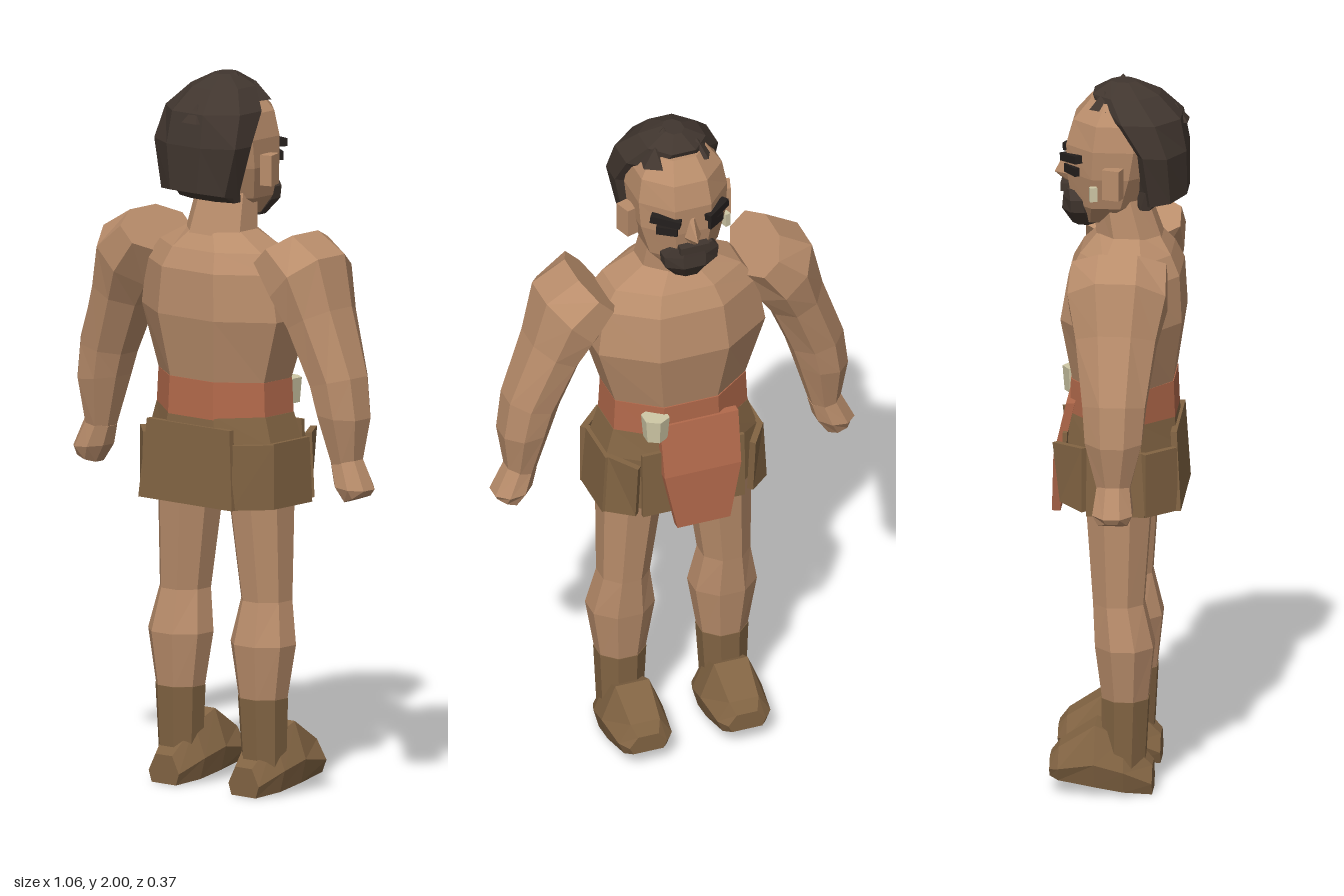
import * as THREE from 'three';

const V = (x, y, z) => new THREE.Vector3(x, y, z);
const mat = (name, color) => {
  const m = new THREE.MeshStandardMaterial({ color, flatShading: true });
  m.name = name;
  return m;
};

// Skin a list of equal-length point loops, with capped ends, always facing outward
function loft(rings) {
  const tris = [], n = rings[0].length;
  for (let i = 0; i < rings.length - 1; i++) {
    for (let j = 0; j < n; j++) {
      const k = (j + 1) % n, a = rings[i], b = rings[i + 1];
      tris.push([a[j], b[j], b[k]], [a[j], b[k], a[k]]);
    }
  }
  const lo = rings[0], hi = rings[rings.length - 1];
  for (let j = 1; j < n - 1; j++) {
    tris.push([lo[0], lo[j], lo[j + 1]], [hi[0], hi[j + 1], hi[j]]);
  }
  const volume = tris.reduce((s, [a, b, c]) => s + a.dot(b.clone().cross(c)), 0);
  if (volume < 0) tris.forEach(t => t.reverse());
  const g = new THREE.BufferGeometry().setFromPoints(tris.flat());
  g.computeVertexNormals();
  return g;
}

// Eight-sided loop with flat sides; u and v are its half-axes
function octagon(center, u, v) {
  return Array.from({ length: 8 }, (_, j) => {
    const a = (j + 0.5) * Math.PI / 4, r = 1 / Math.cos(Math.PI / 8);
    return center.clone().addScaledVector(u, r * Math.cos(a)).addScaledVector(v, r * Math.sin(a));
  });
}

// Upright body from rows of [y, half width, back z, front z, centre x, tilt]
const column = rows => loft(rows.map(([y, rx, zb, zf, cx = 0, tilt = 0]) =>
  octagon(V(cx, y, (zb + zf) / 2), V(rx, 0, 0), V(0, tilt, (zb - zf) / 2))));

// Limb from rows of [inner x, inner y, outer x, outer y, half depth]
const limb = (rows, s) => loft(rows.map(([xi, yi, xo, yo, rz]) =>
  octagon(V(s * (xi + xo) / 2, (yi + yo) / 2, 0.012), V(s * (xo - xi) / 2, (yo - yi) / 2, 0), V(0, 0, rz))));

// Thick panel from corner points and a thickness vector
const panel = (corners, t) => loft([corners.map(c => V(...c)), corners.map(c => V(...c).add(V(...t)))]);

export function createModel() {
  const model = new THREE.Group();
  model.name = 'warrior';
  const skin = mat('skin', 0xb98d6b), leather = mat('leather', 0x826443), cloth = mat('sash cloth', 0xb2694b);
  const hair = mat('hair', 0x41362f), dark = mat('eye dark', 0x241f1d), bone = mat('bone', 0xcfc8a6);
  const add = (name, geometry, material) => {
    const m = new THREE.Mesh(geometry, material);
    m.name = name;
    model.add(m);
    return m;
  };
  const box = (name, size, pos, rotY, material) => {
    const m = add(name, new THREE.BoxGeometry(...size), material);
    m.position.set(...pos);
    m.rotation.y = rotY;
    return m;
  };

  // Trunk and waist
  add('torso', column([
    [1.15, 0.19, 0.145, -0.13], [1.33, 0.245, 0.172, -0.162],
    [1.46, 0.225, 0.165, -0.14], [1.515, 0.185, 0.14, -0.11], [1.57, 0.085, 0.1, -0.06],
  ]), skin);
  add('neck', column([[1.53, 0.1, 0.12, -0.065], [1.7, 0.08, 0.06, -0.08]]), skin);
  add('waistSash', column([[1.05, 0.197, 0.152, -0.138], [1.155, 0.192, 0.148, -0.135]]), cloth);
  add('skirt', column([
    [0.82, 0.222, 0.16, -0.15], [0.98, 0.222, 0.16, -0.15], [1.06, 0.198, 0.15, -0.137],
  ]), leather);
  add('backPanel', panel([[-0.15, 1.03, 0.145], [0.15, 1.03, 0.145], [0.17, 0.81, 0.158], [-0.17, 0.81, 0.158]],
    [0, 0, 0.017]), leather);
  add('frontPanel', panel([[-0.15, 1.02, -0.14], [0.15, 1.02, -0.14], [0.15, 0.82, -0.145], [-0.15, 0.82, -0.145]],
    [0, 0, -0.012]), leather);

  // Hanging sash end, bending over the skirt
  add('hangingSash', loft([[1.1, -0.13, -0.135, 0.095], [0.95, -0.165, -0.13, 0.095], [0.78, -0.172, -0.095, 0.06]]
    .map(([y, z, x0, x1]) => [V(x0, y, z + 0.01), V(x1, y, z + 0.01), V(x1, y, z - 0.014), V(x0, y, z - 0.014)])), cloth);
  const knob = add('sashToggle', new THREE.CylinderGeometry(0.04, 0.034, 0.07, 6), bone);
  knob.position.set(0.105, 1.1, -0.133);

  for (const s of [1, -1]) {
    const side = s > 0 ? 'left' : 'right';

    // Skirt corner panels
    add(side + 'RearSkirtPanel', panel([[s * 0.23, 0.99, 0.07], [s * 0.15, 0.99, 0.15],
      [s * 0.15, 0.81, 0.155], [s * 0.23, 0.81, 0.07]], [s * 0.013, 0, 0.013]), leather);
    add(side + 'FrontSkirtPanel', panel([[s * 0.215, 1.0, -0.08], [s * 0.16, 1.0, -0.165],
      [s * 0.16, 0.83, -0.145], [s * 0.225, 0.82, -0.08]], [s * 0.013, 0, -0.013]), leather);
    add(side + 'SideSkirtPanel', panel([[s * 0.215, 0.99, 0.08], [s * 0.215, 0.99, -0.08],
      [s * 0.225, 0.81, -0.08], [s * 0.225, 0.81, 0.08]], [s * 0.016, 0, 0]), leather);

    // Arm and fist
    add(side + 'Arm', limb([
      [0.19, 1.475, 0.295, 1.58, 0.13], [0.24, 1.375, 0.39, 1.525, 0.135], [0.285, 1.31, 0.425, 1.385, 0.11],
      [0.345, 1.165, 0.49, 1.2, 0.086], [0.365, 1.1, 0.505, 1.085, 0.078], [0.408, 0.95, 0.488, 0.965, 0.045],
    ], s), skin);
    add(side + 'Hand', limb([
      [0.405, 0.955, 0.49, 0.97, 0.045], [0.42, 0.9, 0.528, 0.89, 0.055], [0.452, 0.85, 0.52, 0.875, 0.04],
    ], s), skin);

    // Leg, boot shaft and foot
    add(side + 'Leg', column([
      [0.95, 0.088, 0.1, -0.085, s * 0.13], [0.8, 0.086, 0.09, -0.085, s * 0.13], [0.54, 0.068, 0.072, -0.066, s * 0.148],
      [0.42, 0.09, 0.1, -0.06, s * 0.15], [0.26, 0.065, 0.083, -0.04, s * 0.15],
    ]), skin);
    add(side + 'BootShaft', column([
      [0.06, 0.058, 0.075, -0.04, s * 0.152], [0.27, 0.068, 0.086, -0.043, s * 0.15],
    ]), leather);
    add(side + 'Foot', loft([
      [0.097, 0.055, 0.0, 0.08], [0.02, 0.083, 0.01, 0.16], [-0.06, 0.09, 0.025, 0.195],
      [-0.16, 0.078, 0.04, 0.13], [-0.185, 0.055, 0.048, 0.1],
    ].map(([z, w, y0, y1]) => [[-0.8, 0], [0.8, 0], [1, 0.4], [0.55, 1], [-0.55, 1], [-1, 0.4]]
      .map(([u, v]) => V(s * 0.145 + u * w, y0 + v * (y1 - y0), z)))), leather);

    // Ear, brow and eye
    box(side + 'Ear', [0.035, 0.085, 0.05], [s * 0.142, 1.735, -0.015], s * 0.3, skin);
    const brow = box(side + 'Brow', [0.085, 0.022, 0.022], [s * 0.075, 1.787, -0.135], -s * 0.6, dark);
    brow.rotation.z = s * 0.12;
    box(side + 'Eye', [0.06, 0.024, 0.016], [s * 0.07, 1.752, -0.133], -s * 0.6, dark);
  }

  // Head and nose
  add('head', column([
    [1.595, 0.05, -0.01, -0.115], [1.65, 0.1, 0.06, -0.135], [1.74, 0.125, 0.1, -0.148],
    [1.82, 0.13, 0.12, -0.15], [1.89, 0.118, 0.1, -0.13], [1.945, 0.08, 0.07, -0.085],
  ]), skin);
  add('nose', loft([
    [V(-0.013, 1.79, -0.14), V(0.013, 1.79, -0.14), V(0, 1.785, -0.155)],
    [V(-0.028, 1.725, -0.14), V(0.028, 1.725, -0.14), V(0, 1.725, -0.186)],
    [V(-0.015, 1.7, -0.14), V(0.015, 1.7, -0.14), V(0, 1.7, -0.155)],
  ]), skin);

  // Beard and moustache
  add('beard', column([
    [1.585, 0.04, -0.07, -0.135], [1.63, 0.076, -0.07, -0.163], [1.665, 0.08, -0.08, -0.16], [1.69, 0.06, -0.1, -0.158],
  ]), hair);
  box('moustache', [0.085, 0.022, 0.03], [0, 1.692, -0.152], 0, hair);
  box('earring', [0.016, 0.04, 0.02], [-0.127, 1.7, -0.07], 0.3, bone);

  // Hair mass, with tufts on top
  add('hair', column([
    [1.668, 0.115, 0.182, 0.045, 0, 0.015], [1.81, 0.147, 0.182, 0.02], [1.9, 0.135, 0.165, -0.055],
    [1.96, 0.085, 0.105, -0.078], [1.992, 0.028, 0.04, -0.03],
  ]), hair);
  add('napeHair', column([[1.648, 0.1, 0.1, 0.04], [1.7, 0.11, 0.15, 0.04]]), hair);
  for (const [x, y, z, turn] of [[0.03, 1.975, 0.0, 0.3], [-0.05, 1.95, -0.045, 1.1], [0.07, 1.945, -0.04, 2], [0.02, 1.9, 0.145, 0.6]]) {
    const tuft = add('hairTuft', new THREE.ConeGeometry(0.045, 0.05, 5), hair);
    tuft.position.set(x, y, z);
    tuft.rotation.y = turn;
  }
  return model;
}
